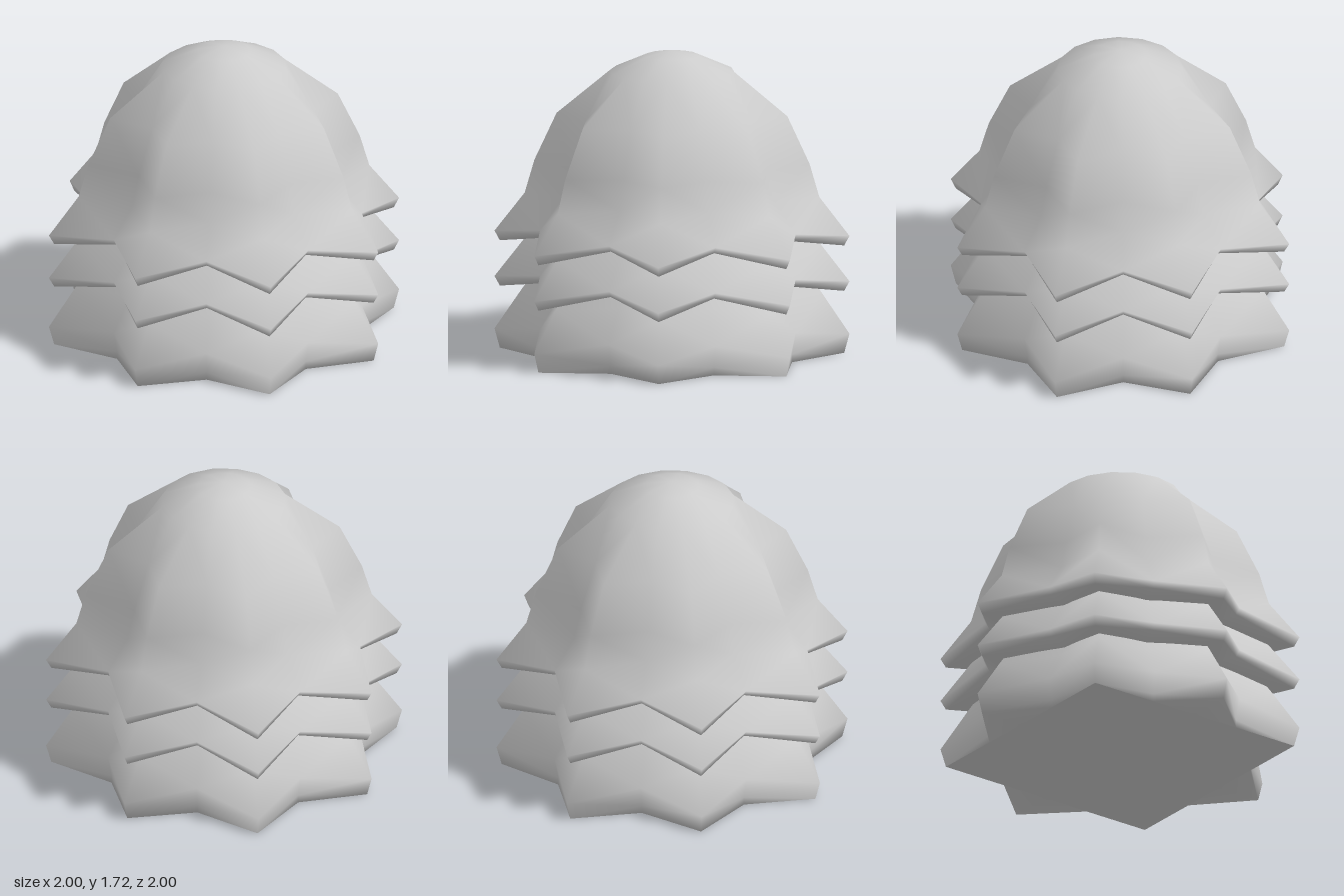
import * as THREE from 'three';
import { mergeVertices } from 'three/addons/utils/BufferGeometryUtils.js';

const material = new THREE.MeshStandardMaterial({ color: 0xcccccc });

// One 16-point ring: tip = reach on the axes, corner = x and z of the diagonal
// points, notch = [sideways, outward] position of the notches, lift = their rise
function ring(y, tip, corner, notch, lift = 0) {
  const points = [];
  for (let q = 0; q < 4; q++) {
    const quarter = [[0, tip, 0], [...notch, lift], [corner, corner, 0], [notch[1], notch[0], lift]];
    const c = Math.round(Math.cos(q * Math.PI / 2)), s = Math.round(Math.sin(q * Math.PI / 2));
    for (const [x, z, up] of quarter) points.push([x * c + z * s, y + up, z * c - x * s]);
  }
  return points;
}

const star = (y, r, lift = 0) => ring(y, r, r * 0.72, [r * 0.3, r * 0.72], lift);
const round = (y, r) => ring(y, r, r * 0.707, [r * 0.383, r * 0.924]);
const square = (y, r) => ring(y, r * 0.72, r * 0.72, [r * 0.3, r * 0.72]);

// Skins a list of rings from the top down, then inward, mirrored about every tip
function loft(name, rings) {
  const position = [], index = [];
  rings.forEach((points) => points.forEach((p) => position.push(...p)));
  for (let i = 0; i < rings.length - 1; i++) {
    for (let k = 0; k < 16; k++) {
      const a = i * 16 + k, d = i * 16 + (k + 1) % 16, b = a + 16, c = d + 16;
      if (k % 2) index.push(a, b, d, b, c, d);
      else index.push(a, b, c, a, c, d);
    }
  }
  let geometry = new THREE.BufferGeometry();
  geometry.setAttribute('position', new THREE.Float32BufferAttribute(position, 3));
  geometry.setIndex(index);
  geometry = mergeVertices(geometry, 1e-5);
  geometry.computeVertexNormals();
  const mesh = new THREE.Mesh(geometry, material);
  mesh.name = name;
  return mesh;
}

// Flared skirt with a thin rim, shared by the upper two tiers
const flare = (y) => [
  star(y + 0.22, 0.83, 0.02),
  star(y, 1, 0.065),
  star(y - 0.055, 0.97, 0.085),
  star(y - 0.03, 0.8, 0.05),
  star(y - 0.02, 0.5),
];

export function createModel() {
  const group = new THREE.Group();
  group.name = 'tieredStarDome';

  // Dome: round crown that turns into a star, with the uppermost skirt
  group.add(loft('domeTier', [
    round(1.72, 0),
    round(1.69, 0.15),
    round(1.6, 0.35),
    star(1.35, 0.65),
    star(1.08, 0.775),
    ...flare(0.67),
  ]));

  // Middle skirt, tucked up inside the dome
  group.add(loft('middleTier', [star(0.74, 0.74), ...flare(0.41)]));

  // Bottom skirt with a deeper rim, rounded over to the underside of its points
  group.add(loft('bottomTier', [
    star(0.46, 0.76),
    star(0.34, 0.845, 0.02),
    star(0.11, 1, 0.06),
    star(0, 0.97, 0.045),
    star(0, 0.97),
    square(0, 0.97),
  ]));

  // Flat floor
  group.add(loft('floor', [square(0, 0.97), square(0, 0)]));

  return group;
}
